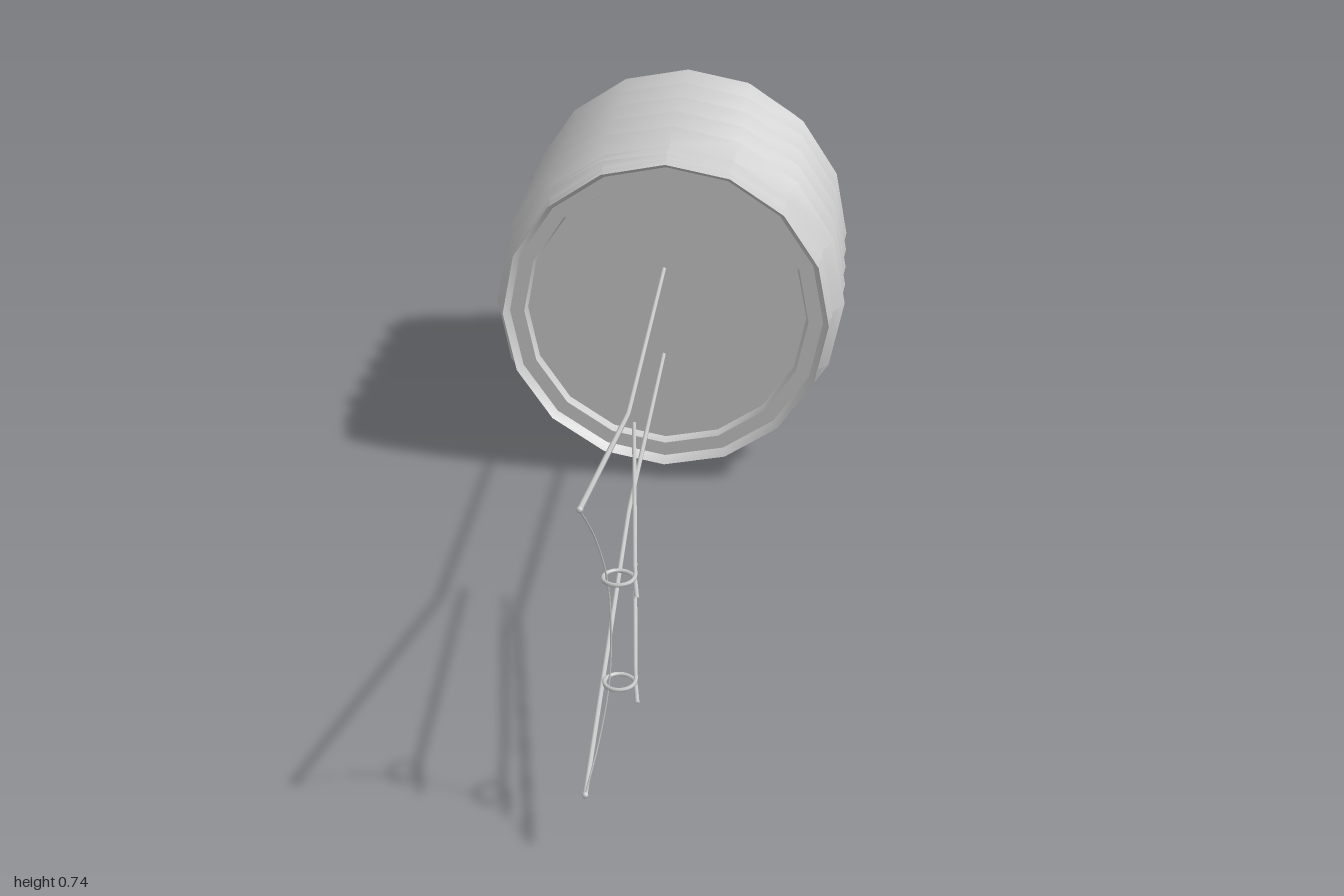
import * as THREE from 'three';
import { toCreasedNormals } from 'three/addons/utils/BufferGeometryUtils.js';

const CY = 0.369; // height of the bulb axis
const SIDES = 16;
const material = new THREE.MeshStandardMaterial({ color: 0xcccccc });

function addMesh(group, name, geometry) {
  const mesh = new THREE.Mesh(geometry, material);
  mesh.name = name;
  group.add(mesh);
  return mesh;
}

// Profile [radius, z] at one angle, from the back cone to the recessed front disc
function profileAt(turn) {
  const rows = [[0.14, -0.945], [0.342, -0.862]];
  const back = -0.84, front = -0.28;
  for (let i = -4; i <= 11; i++) {
    const z = THREE.MathUtils.clamp(-0.78 + 0.05 * i + 0.1 * turn, back, front);
    const fade = Math.min(1, Math.min(z - back, front - z) / 0.035);
    rows.push([0.343 + (i % 2 === 0 ? 0.025 * fade : 0), z]);
  }
  rows.push([0.337, -0.265], [0.337, -0.23], [0.325, -0.25], [0.295, -0.25], [0.29, -0.27], [0, -0.27]);
  return rows;
}

// Screw cap with a helical thread, open rim and inner disc
function screwCapGeometry() {
  const columns = [];
  for (let j = 0; j <= SIDES; j++) {
    const a = (j / SIDES) * Math.PI * 2;
    columns.push(profileAt(j / SIDES).map(([r, z]) =>
      new THREE.Vector3(r * Math.sin(a), CY + r * Math.cos(a), z)));
  }
  const positions = [];
  const triangle = new THREE.Triangle();
  const face = (a, b, c) => {
    if (triangle.set(a, b, c).getArea() < 1e-7) return;
    for (const p of [a, b, c]) positions.push(p.x, p.y, p.z);
  };
  for (let j = 0; j < SIDES; j++) {
    const c = columns[j], d = columns[j + 1];
    for (let i = 0; i < c.length - 1; i++) {
      face(c[i], c[i + 1], d[i]);
      face(c[i + 1], d[i + 1], d[i]);
    }
  }
  const geometry = new THREE.BufferGeometry();
  geometry.setAttribute('position', new THREE.Float32BufferAttribute(positions, 3));
  return toCreasedNormals(geometry, 0.5);
}

// Wire through straight segments
function polyWire(points, radius, perSegment) {
  const path = new THREE.CurvePath();
  for (let i = 1; i < points.length; i++) path.add(new THREE.LineCurve3(points[i - 1], points[i]));
  return new THREE.TubeGeometry(path, (points.length - 1) * perSegment, radius, 6, false);
}

// Ball closing each wire end
function addTip(group, name, point, radius) {
  addMesh(group, name, new THREE.SphereGeometry(radius, 6, 4)).position.copy(point);
}

export function createModel() {
  const model = new THREE.Group();
  const v = (x, y, z) => new THREE.Vector3(x, y, z);

  addMesh(model, 'screwCap', screwCapGeometry());

  // Rounded contact at the back end
  const dome = [[0, -1], [0.085, -1], [0.125, -0.97], [0.155, -0.938]]
    .map(([r, z]) => new THREE.Vector2(r, z));
  const contact = addMesh(model, 'endContact', new THREE.LatheGeometry(dome, SIDES));
  contact.rotation.x = Math.PI / 2;
  contact.position.y = CY;

  for (const side of [1, -1]) {
    const label = side > 0 ? 'upper' : 'lower';

    // Bent lead wire
    const lead = [v(-0.005, CY + side * 0.097, -0.275), v(-0.005, CY + side * 0.097, 0.388),
      v(-0.005, CY + side * 0.252, 0.995)];
    addMesh(model, label + 'LeadWire', polyWire(lead, 0.0045, 24));
    addTip(model, label + 'LeadTip', lead[2], 0.0055);

    // Support wire ending in a small eyelet round the filament
    const y = side > 0 ? 0.466 : 0.279;
    const points = [v(0, CY + side * 0.053, 0.34), v(0.062, y, 0.89)];
    for (let i = 0; i <= 14; i++) {
      const a = (i / 14) * Math.PI * 2;
      points.push(v(0.041 + 0.024 * Math.cos(a), y - 0.008 * (i / 14), 0.917 + 0.024 * Math.sin(a)));
    }
    points.push(v(0.073, y - 0.008, 0.965));
    addMesh(model, label + 'SupportWire', polyWire(points.slice(0, 2), 0.004, 2));
    addMesh(model, label + 'Eyelet',
      new THREE.TubeGeometry(new THREE.CatmullRomCurve3(points.slice(1)), 60, 0.0035, 6, false));
    addTip(model, label + 'SupportTip', points[0], 0.004);
  }

  // Thin curved filament between the lead tips
  const filament = new THREE.CatmullRomCurve3([
    v(-0.005, CY + 0.252, 0.995), v(0.012, CY + 0.18, 0.955), v(0.025, CY + 0.095, 0.93),
    v(0.029, CY, 0.924),
    v(0.025, CY - 0.095, 0.93), v(0.012, CY - 0.18, 0.955), v(-0.005, CY - 0.252, 0.995)]);
  addMesh(model, 'filament', new THREE.TubeGeometry(filament, 32, 0.0015, 5, false));

  return model;
}
